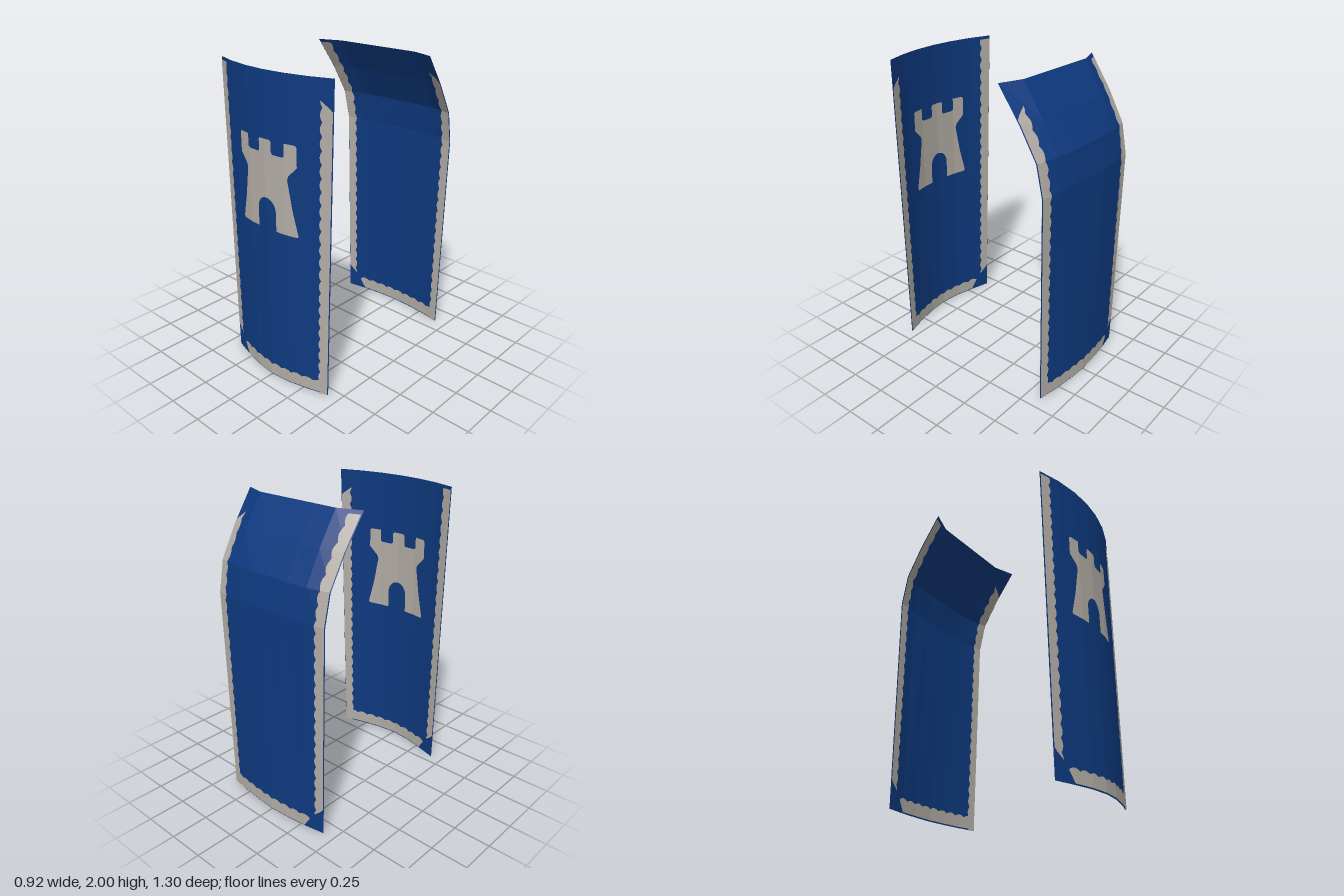
import * as THREE from 'three';

const blue = new THREE.MeshStandardMaterial({ color: 0x0e3a80, side: THREE.DoubleSide, flatShading: true });
blue.name = 'blue cloth';
const grey = new THREE.MeshStandardMaterial({ color: 0xb3ada5, side: THREE.DoubleSide, flatShading: true });
grey.name = 'pale grey trim';

// Depth at the centre, 1/3, 2/3 and edge of the half width, for rising heights
const FRONT = [
  { y: 0, z: [0.645, 0.632, 0.6, 0.56] },
  { y: 2, z: [0.622, 0.612, 0.583, 0.533] },
];
const BACK = [
  { y: 0, z: [-0.645, -0.637, -0.622, -0.597] },
  { y: 1.4, z: [-0.628, -0.624, -0.615, -0.597] },
  { y: 1.6, z: [-0.597, -0.596, -0.588, -0.555] },
  { y: 1.8, z: [-0.487, -0.487, -0.484, -0.44] },
  { y: 2, z: [-0.355, -0.355, -0.355, -0.3] },
];

const halfWidth = (y) => 0.42 + 0.02 * y;
const scallop = (t) => 0.014 * Math.abs(Math.sin((Math.PI * t) / 0.08));

// Depth of a bent sheet at x, y
function depth(rows, x, y) {
  let i = 0;
  while (i < rows.length - 2 && y > rows[i + 1].y + 1e-6) i++;
  const a = rows[i], b = rows[i + 1];
  const u = Math.min(3, (Math.abs(x) / halfWidth(y)) * 3);
  const k = Math.min(2, Math.floor(u));
  const across = (r) => THREE.MathUtils.lerp(r.z[k], r.z[k + 1], u - k);
  return THREE.MathUtils.lerp(across(a), across(b), (y - a.y) / (b.y - a.y));
}

// Lay a flat geometry onto a sheet
function bend(geometry, rows, offset) {
  const g = geometry.index ? geometry.toNonIndexed() : geometry;
  const p = g.attributes.position;
  for (let i = 0; i < p.count; i++) p.setZ(i, depth(rows, p.getX(i), p.getY(i)) + offset);
  g.computeVertexNormals();
  return g;
}

// Flat band between two edges, sampled along t
function band(from, to, step, edgeA, edgeB) {
  const pos = [];
  const n = Math.round((to - from) / step);
  for (let i = 0; i < n; i++) {
    const t0 = from + i * step, t1 = from + (i + 1) * step;
    const a = edgeA(t0), b = edgeB(t0), c = edgeB(t1), d = edgeA(t1);
    for (const q of [a, b, c, a, c, d]) pos.push(q[0], q[1], 0);
  }
  const g = new THREE.BufferGeometry();
  g.setAttribute('position', new THREE.Float32BufferAttribute(pos, 3));
  return g;
}

// Blue sheet, six facets wide
function sheet(rows) {
  const pos = [];
  for (let r = 0; r < rows.length - 1; r++) {
    const y0 = rows[r].y, y1 = rows[r + 1].y;
    for (let k = -3; k < 3; k++) {
      const at = (j, y) => [(j / 3) * halfWidth(y), y, 0];
      const a = at(k, y0), b = at(k + 1, y0), c = at(k + 1, y1), d = at(k, y1);
      pos.push(...a, ...b, ...c, ...a, ...c, ...d);
    }
  }
  const g = new THREE.BufferGeometry();
  g.setAttribute('position', new THREE.Float32BufferAttribute(pos, 3));
  return bend(g, rows, 0);
}

// Border with scalloped inner edges and slanted open ends
const inner = (y) => 0.368 + 0.014 * y - scallop(y);
const outer = (y) => halfWidth(y) - 0.004;
const taper = (y, d) => THREE.MathUtils.lerp(inner(y), outer(y), THREE.MathUtils.clamp(d / 0.06, 0, 1));
const borders = {
  rightBorder: () => band(0.12, 1.98, 0.02, (y) => [-taper(y, y - 0.12), y], (y) => [-inner(y), y]),
  leftBorder: () => band(0, 1.88, 0.02, (y) => [inner(y), y], (y) => [taper(y, 1.88 - y), y]),
  bottomBorder: () => band(-0.32, 0.38, 0.02,
    (x) => [x, THREE.MathUtils.lerp(0.07, 0.008, Math.min(1, (x + 0.32) / 0.04))],
    (x) => [x, 0.08 + scallop(x)]),
};

// Tower emblem: half outline, divided where the sheet folds
function towerPieces(side) {
  const arch = [];
  for (let i = 0; i <= 8; i++) {
    const a = (i / 8) * Math.PI / 2;
    arch.push([0.075 * Math.cos(a), 1.165 + 0.08 * Math.sin(a)]);
  }
  const core = [[0.075, 1.045], ...arch, [0, 1.605], [0.04, 1.605], [0.05, 1.595],
    [0.05, 1.53], [0.06, 1.52], [0.135, 1.52], [0.1495, 1.53], [0.147, 1.045]];
  const wing = [[0.147, 1.045], [0.1495, 1.53], [0.1505, 1.605], [0.225, 1.605], [0.235, 1.595],
    [0.235, 1.475], [0.175, 1.415], [0.168, 1.39], [0.2, 1.21], [0.238, 1.055], [0.228, 1.045]];
  return [core, wing].map((pts) =>
    new THREE.ShapeGeometry(new THREE.Shape(pts.map(([x, y]) => new THREE.Vector2(x * side, y)))));
}

function panel(name, rows, hasTower) {
  const group = new THREE.Group();
  group.name = name;
  const add = (partName, geometry, material) => {
    const m = new THREE.Mesh(geometry, material);
    m.name = partName;
    group.add(m);
  };
  add('cloth', sheet(rows), blue);
  // Trim shows on both faces of the sheet
  for (const offset of [-0.004, 0.004]) {
    for (const [partName, make] of Object.entries(borders)) add(partName, bend(make(), rows, offset), grey);
    if (hasTower) {
      for (const side of [-1, 1]) {
        for (const g of towerPieces(side)) add('towerEmblem', bend(g, rows, offset), grey);
      }
    }
  }
  return group;
}

export function createModel() {
  const model = new THREE.Group();
  model.name = 'bannerPair';
  model.add(panel('frontBanner', FRONT, true), panel('backBanner', BACK, false));
  return model;
}
